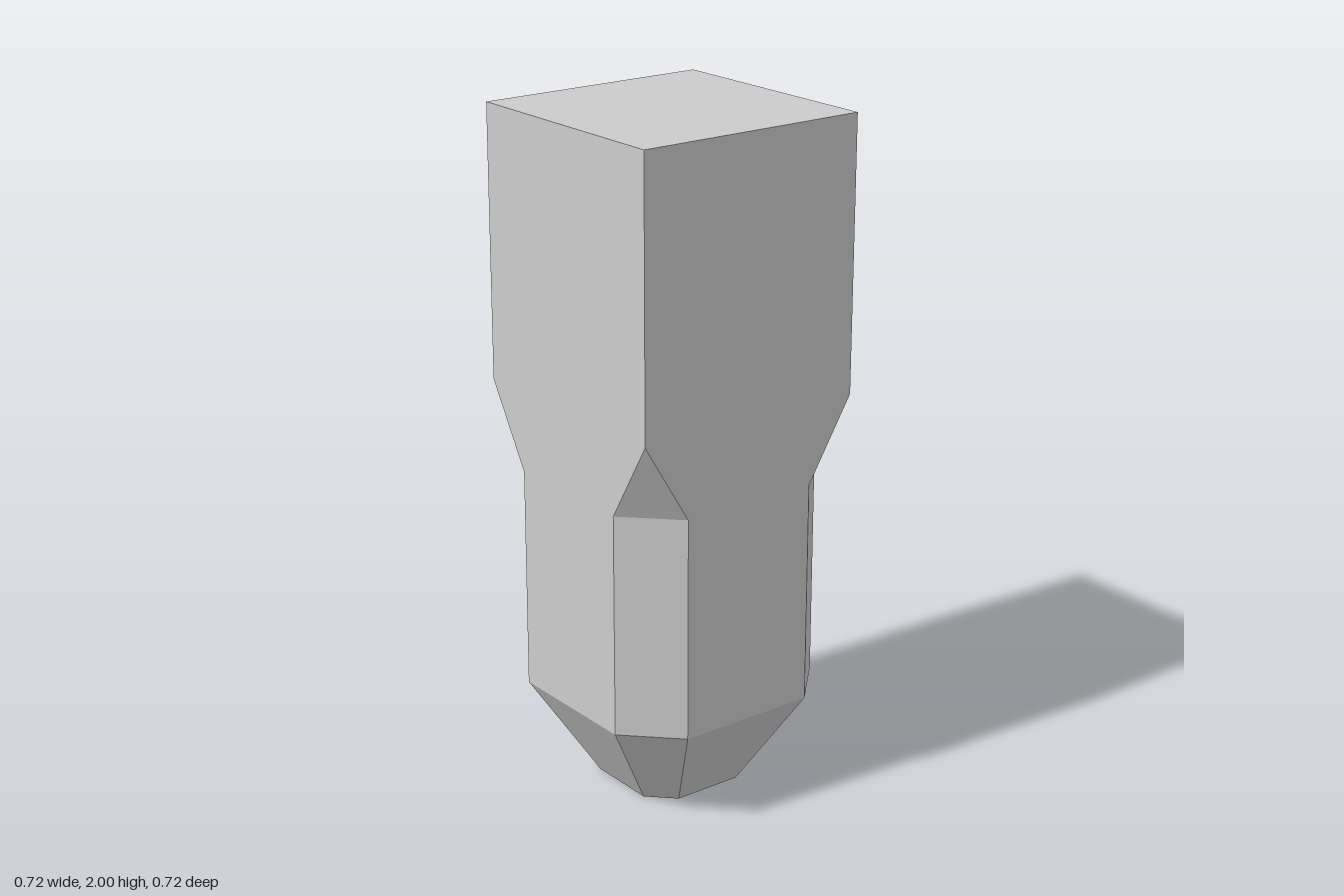
import * as THREE from 'three';

// Square ring with cut corners: h = half width, c = half length of each flat side
function ring([y, h, c]) {
  return [[-c, h], [c, h], [h, c], [h, -c], [c, -h], [-c, -h], [-h, -c], [-h, c]]
    .map(([x, z]) => new THREE.Vector3(x, y, z));
}

// Skin the rings from bottom to top and cap both ends
function loft(sections) {
  const rings = sections.map(ring);
  const positions = [];
  const tri = (a, b, c) => {
    if (new THREE.Triangle(a, b, c).getArea() < 1e-7) return; // corner closed to a point
    for (const p of [a, b, c]) positions.push(p.x, p.y, p.z);
  };
  for (let i = 0; i < rings.length - 1; i++) {
    const lo = rings[i], hi = rings[i + 1];
    for (let j = 0; j < 8; j++) {
      const k = (j + 1) % 8;
      tri(lo[j], lo[k], hi[k]);
      tri(lo[j], hi[k], hi[j]);
    }
  }
  const bottom = rings[0], top = rings[rings.length - 1];
  for (let j = 1; j < 7; j++) {
    tri(bottom[0], bottom[j + 1], bottom[j]);
    tri(top[0], top[j], top[j + 1]);
  }
  const geometry = new THREE.BufferGeometry();
  geometry.setAttribute('position', new THREE.Float32BufferAttribute(positions, 3));
  geometry.computeVertexNormals();
  return geometry;
}

export function createModel() {
  const group = new THREE.Group();
  group.name = 'chamferedPost';

  const H = 0.359, C = 0.214;
  const post = new THREE.Mesh(
    loft([
      [0, 0.18, 0.107], // foot of the tapered tip
      [0.3, H, C],      // top of the taper
      [0.96, H, C],     // end of the straight chamfer
      [1.2, H, H],      // chamfer runs out to a square corner
      [2, H, H],        // flat top
    ]),
    new THREE.MeshStandardMaterial({ color: 0xcccccc, flatShading: true })
  );
  post.name = 'post';
  group.add(post);
  return group;
}
